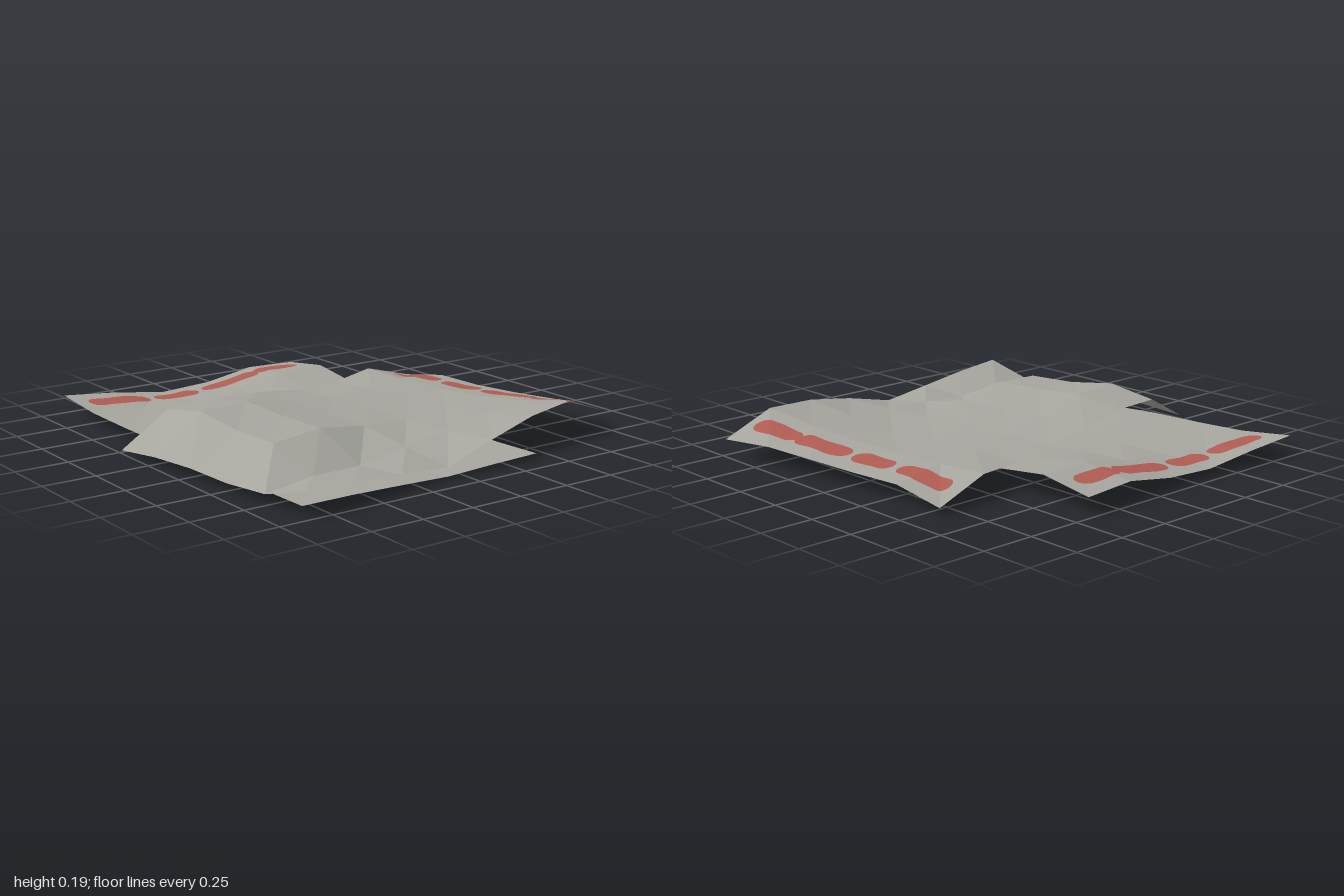
import * as THREE from 'three';

const cloth = new THREE.MeshStandardMaterial({ color: 0xa6a59e, flatShading: true, side: THREE.DoubleSide });
cloth.name = 'warm grey sheet';
const red = new THREE.MeshStandardMaterial({ color: 0xb05c52, flatShading: true, side: THREE.DoubleSide });
red.name = 'faded red';

// Grid of points [row][col] between a back edge and a front edge ([x, z] lists),
// with a height per point and a sideways bow on the last column.
function makeGrid(back, front, heights, bow) {
  const last = heights.length - 1;
  return heights.map((row, j) => row.map((y, i) => {
    const t = j / last;
    const x = THREE.MathUtils.lerp(back[i][0], front[i][0], t);
    const z = THREE.MathUtils.lerp(back[i][1], front[i][1], t);
    return new THREE.Vector3(x - bow * Math.sin(Math.PI * t) * i / (row.length - 1), y, z);
  }));
}

// Surface through a rows x cols lattice of points
function lattice(points, material, name) {
  const cols = points[0].length;
  const index = [];
  for (let j = 0; j < points.length - 1; j++) {
    for (let i = 0; i < cols - 1; i++) {
      const a = j * cols + i, b = a + cols;
      index.push(a, b, a + 1, a + 1, b, b + 1);
    }
  }
  const geo = new THREE.BufferGeometry().setFromPoints(points.flat());
  geo.setIndex(index);
  const flat = geo.toNonIndexed();
  flat.computeVertexNormals();
  const mesh = new THREE.Mesh(flat, material);
  mesh.name = name;
  return mesh;
}

// Point on the folded sheet at column u, row v
function sample(grid, u, v) {
  const i = Math.min(Math.floor(u), grid[0].length - 2);
  const j = Math.min(Math.floor(v), grid.length - 2);
  const s = u - i, t = v - j;
  const a = grid[j][i], b = grid[j + 1][i], c = grid[j][i + 1], d = grid[j + 1][i + 1];
  const p = new THREE.Vector3();
  if (s + t < 1) return p.addScaledVector(a, 1 - s - t).addScaledVector(c, s).addScaledVector(b, t);
  return p.addScaledVector(d, s + t - 1).addScaledVector(b, 1 - s).addScaledVector(c, 1 - t);
}

// Rounded brush mark draped on the sheet, on both faces
function addMark(group, grid, from, to, place) {
  const steps = 28, across = 6, end = 0.2;
  for (const lift of [0.004, -0.004]) {
    const points = [];
    for (let k = 0; k <= steps; k++) {
      const w = from + (to - from) * (1 - Math.cos(Math.PI * k / steps)) / 2;
      const e = Math.max(0, 1 - Math.min(w - from, to - w) / end);
      const half = 0.19 * Math.sqrt(Math.max(0, 1 - e * e)) * (1 + 0.06 * Math.sin(w * 9));
      const row = [];
      for (let m = 0; m <= across; m++) {
        const [u, v] = place(w, half * (2 * m / across - 1));
        const p = sample(grid, u, v);
        p.y += lift;
        row.push(p);
      }
      points.push(row);
    }
    group.add(lattice(points, red, lift > 0 ? 'markTop' : 'markUnderside'));
  }
}

export function createModel() {
  const model = new THREE.Group();
  model.name = 'crumpledSheets';

  // Upper sheet, turned sideways and draped over the lower one
  const upper = makeGrid(
    [[-1, -0.23], [-0.74, -0.275], [-0.475, -0.31], [-0.21, -0.35], [0.05, -0.39], [0.31, -0.45], [0.56, -0.52], [0.84, -0.56]],
    [[-0.86, 0.97], [-0.6, 0.94], [-0.34, 0.91], [-0.07, 0.875], [0.2, 0.84], [0.47, 0.79], [0.74, 0.74], [1, 0.72]],
    [
      [0.015, 0.15, 0.155, 0.135, 0.1, 0.09, 0.108, 0.03],
      [0.035, 0.188, 0.188, 0.14, 0.11, 0.1, 0.1, 0.075],
      [0.04, 0.155, 0.17, 0.13, 0.11, 0.1, 0.1, 0.072],
      [0.03, 0.148, 0.165, 0.125, 0.1, 0.1, 0.11, 0.08],
      [0.04, 0.062, 0.052, 0.08, 0.1, 0.125, 0.135, 0.092],
      [0.108, 0.093, 0.068, 0.045, 0.11, 0.16, 0.178, 0.083],
    ], 0.03);
  const upperGroup = new THREE.Group();
  upperGroup.name = 'upperSheet';
  upperGroup.add(lattice(upper, cloth, 'upperSurface'));
  for (const [a, b] of [[0.28, 1.45], [1.6, 2.5], [2.6, 3.82], [3.78, 4.8]]) {
    addMark(upperGroup, upper, a, b, (w, o) => [6.5 + o, w]);
  }

  // Lower sheet, lying almost flat with a raised back end
  const lower = makeGrid(
    [[-0.89, -0.98], [-0.63, -0.97], [-0.37, -0.955], [-0.11, -0.955], [0.14, -0.96], [0.4, -0.97]],
    [[-0.82, 0.89], [-0.575, 0.89], [-0.33, 0.89], [-0.08, 0.89], [0.165, 0.89], [0.41, 0.89]],
    [
      [0.09, 0.068, 0.035, 0.048, 0.088, 0.077],
      [0.06, 0.05, 0.045, 0.07, 0.112, 0.112],
      [0.05, 0.048, 0.045, 0.055, 0.075, 0.08],
      [0.045, 0.038, 0.032, 0.032, 0.042, 0.048],
      [0.03, 0.015, 0.006, 0.004, 0.018, 0.028],
      [0.025, 0.015, 0.008, 0, 0.015, 0.022],
      [0.022, 0.018, 0.012, 0.004, 0.015, 0.02],
      [0.02, 0.02, 0.015, 0.008, 0.018, 0.025],
    ], 0.01);
  const lowerGroup = new THREE.Group();
  lowerGroup.name = 'lowerSheet';
  lowerGroup.add(lattice(lower, cloth, 'lowerSurface'));
  for (const [a, b] of [[0.23, 1.43], [1.55, 2.45], [2.56, 3.82], [3.78, 4.75]]) {
    addMark(lowerGroup, lower, a, b, (w, o) => [w, 0.5 + o]);
  }

  model.add(upperGroup, lowerGroup);
  return model;
}
